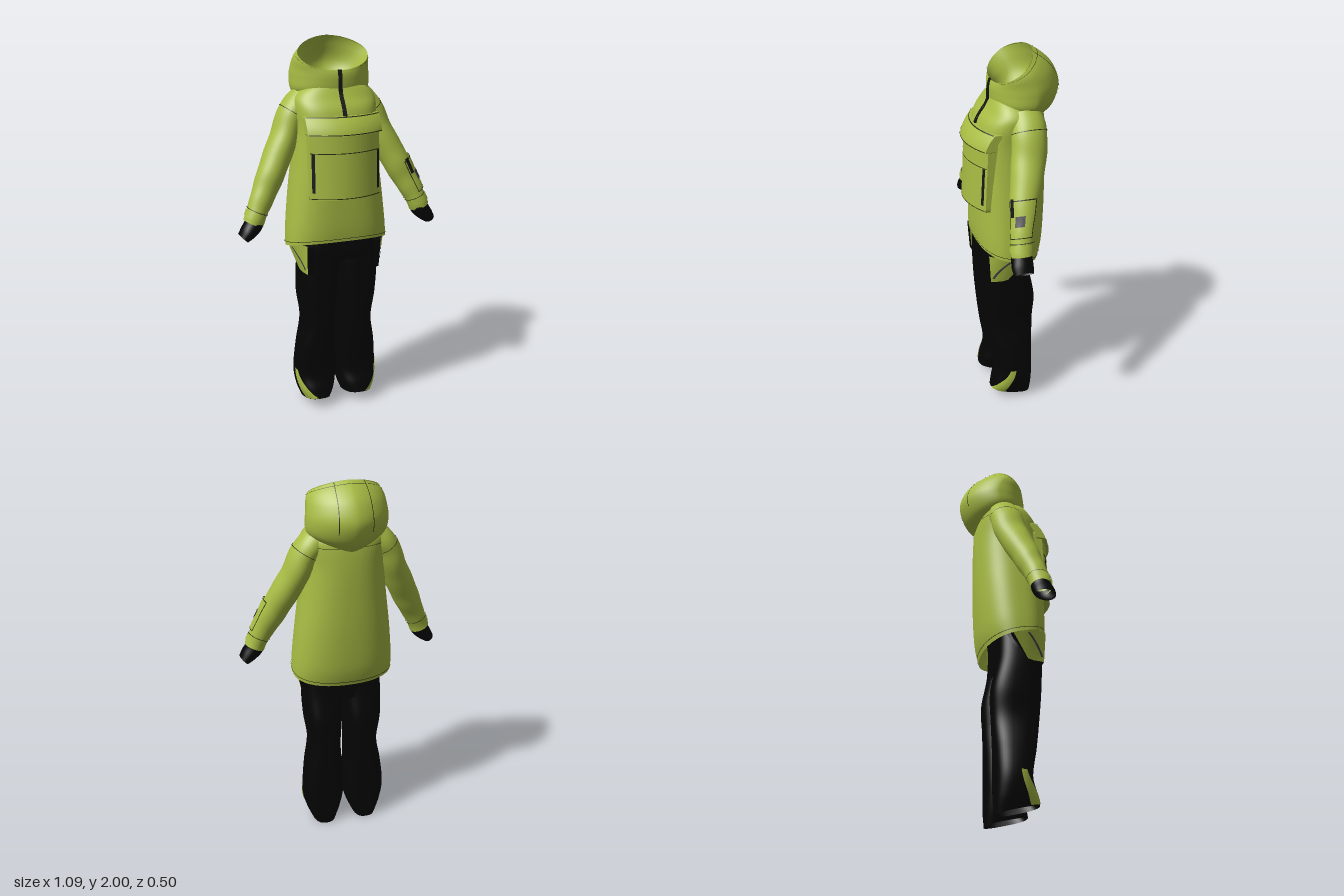
import * as THREE from 'three';
import { mergeVertices } from 'three/addons/utils/BufferGeometryUtils.js';

const mat = (name, color) => {
  const m = new THREE.MeshStandardMaterial({ color, side: THREE.DoubleSide });
  m.name = name;
  return m;
};
const lerp = THREE.MathUtils.lerp;
const V = (x, y, z) => new THREE.Vector3(x, y, z);

// Smooth interpolation through rows of section numbers, v in 0..1
function rowAt(rows, v) {
  const n = rows.length - 1, t = THREE.MathUtils.clamp(v, 0, 1) * n;
  const i = Math.min(Math.floor(t), n - 1), f = t - i;
  const a = rows[Math.max(i - 1, 0)], b = rows[i], c = rows[i + 1], d = rows[Math.min(i + 2, n)];
  return b.map((_, k) => b[k] + 0.5 * f * (c[k] - a[k] + f * (2 * a[k] - 5 * b[k] + 4 * c[k] - d[k]
    + f * (3 * (b[k] - c[k]) + d[k] - a[k]))));
}

// Upright body: rows are [xMin, xMax, yFront, yBack, zFront, zBack]; u = 0 is the front, 0.25 is +x
// nFront and nBack set how square the two halves are
const body = (rows, nFront, nBack = nFront) => (u, v) => {
  const [x0, x1, yF, yB, zF, zB] = rowAt(rows, v);
  const a = u * Math.PI * 2, n = Math.cos(a) > 0 ? nFront : nBack;
  const pw = (q) => Math.sign(q) * Math.abs(q) ** (2 / n);
  const s = pw(Math.sin(a)), c = pw(Math.cos(a));
  return V((x0 + x1) / 2 + (x1 - x0) / 2 * s, lerp(yB, yF, (c + 1) / 2), lerp(zB, zF, (c + 1) / 2));
};

// Limb: rows are [x, y, z, halfWidth, halfDepth]; u = 0 is outward, 0.25 is the front
const limb = (rows, fold = 0) => (u, v) => {
  const [x, y, z, w, d] = rowAt(rows, v);
  const p = rowAt(rows, v - 0.02), q = rowAt(rows, v + 0.02);
  const dir = V(q[0] - p[0], q[1] - p[1], 0).normalize();
  const a = u * Math.PI * 2, k = 1 + fold * Math.sin(v * 34 + Math.sin(a) * 2);
  return V(x - dir.y * w * k * Math.cos(a), y + dir.x * w * k * Math.cos(a), z + d * k * Math.sin(a));
};

// Four-cornered piece of a surface, lifted along its normal
const patch = (f, corners, off) => (s, t) => {
  const [u, v] = [0, 1].map((k) =>
    lerp(lerp(corners[0][k], corners[1][k], s), lerp(corners[3][k], corners[2][k], s), t));
  const e = 0.004, v0 = Math.max(v - e, 0), v1 = Math.min(v + e, 1);
  const du = f(u + e, v).sub(f(u - e, v)), dv = f(u, v1).sub(f(u, v0));
  return f(u, v).addScaledVector(du.cross(dv).normalize(), off);
};
const rect = (f, u0, u1, v0, v1, off = 0.003) => patch(f, [[u0, v0], [u1, v0], [u1, v1], [u0, v1]], off);

// Side wall round the border of a panel
const wall = (f, dir) => (u, t) => {
  const e = (u % 1) * 4, k = Math.floor(e), r = e - k;
  const [a, b] = [[r, 0], [1, r], [1 - r, 1], [0, 1 - r]][k];
  return f(a, b).addScaledVector(dir, 1 - t);
};

const mirror = (f) => (u, v) => { const p = f(1 - u, v); p.x *= -1; return p; };

function grid(f, nu, nv) {
  const pos = [], index = [];
  for (let j = 0; j <= nv; j++) for (let i = 0; i <= nu; i++) pos.push(...f(i / nu, j / nv).toArray());
  for (let j = 0; j < nv; j++) for (let i = 0; i < nu; i++) {
    const a = j * (nu + 1) + i, b = a + 1, c = a + nu + 1, d = c + 1;
    index.push(a, b, d, a, d, c);
  }
  let g = new THREE.BufferGeometry();
  g.setAttribute('position', new THREE.Float32BufferAttribute(pos, 3));
  g.setIndex(index);
  g = mergeVertices(g, 1e-5);
  g.computeVertexNormals();
  return g;
}

export function createModel() {
  const group = new THREE.Group();
  const lime = mat('limeFabric', 0xa8bc44), black = mat('blackFabric', 0x040404);
  const zip = mat('zipBlack', 0x151515), grey = mat('greyTrim', 0x45454a), seam = mat('seamThread', 0x262b10);
  const add = (name, f, m, nu = 8, nv = 8) => {
    const mesh = new THREE.Mesh(grid(f, nu, nv), m);
    mesh.name = name;
    group.add(mesh);
  };
  const both = (name, f, m, nu, nv) => {
    add(name + 'Left', f, m, nu, nv);
    add(name + 'Right', mirror(f), m, nu, nv);
  };

  // Jacket body with a hem that drops at the back
  const torso = body([
    [-0.272, 0.272, 0.972, 0.895, 0.195, -0.125], [-0.268, 0.268, 1.05, 1.0, 0.2, -0.15],
    [-0.25, 0.25, 1.2, 1.2, 0.2, -0.165], [-0.225, 0.225, 1.4, 1.4, 0.197, -0.17],
    [-0.213, 0.213, 1.55, 1.55, 0.19, -0.17], [-0.22, 0.22, 1.65, 1.65, 0.168, -0.165],
    [-0.215, 0.215, 1.71, 1.7, 0.13, -0.155], [-0.17, 0.17, 1.76, 1.74, 0.102, -0.13],
    [-0.1, 0.1, 1.785, 1.755, 0.085, -0.09]], 2.7, 2.3);
  add('jacketBody', torso, lime, 64, 48);
  add('hemSeam', rect(torso, 0, 1, 0.037, 0.042), seam, 64, 1);
  add('yokeSeam', rect(torso, 0.36, 0.64, 0.66, 0.665), seam, 24, 1);

  // Hood, pointed at the back, with its lining and seams
  const hood = body([
    [-0.15, 0.15, 1.725, 1.65, 0.098, -0.165], [-0.205, 0.205, 1.755, 1.715, 0.105, -0.225],
    [-0.212, 0.212, 1.8, 1.81, 0.107, -0.255], [-0.206, 0.206, 1.825, 1.9, 0.105, -0.224],
    [-0.2, 0.2, 1.842, 1.96, 0.1, -0.168], [-0.188, 0.188, 1.847, 2.0, 0.097, -0.11]], 2.1, 1.65);
  const lining = body([
    [-0.188, 0.188, 1.847, 2.0, 0.097, -0.11], [-0.165, 0.165, 1.825, 1.95, 0.087, -0.13],
    [-0.135, 0.135, 1.8, 1.85, 0.083, -0.15], [-0.105, 0.105, 1.76, 1.74, 0.082, -0.09],
    [-0.098, 0.098, 1.7, 1.68, 0.082, -0.08]], 2.1, 1.75);
  add('hood', hood, lime, 56, 30);
  add('hoodLining', lining, lime, 56, 20);
  add('hoodRimSeam', rect(hood, 0.1, 0.9, 0.9, 0.907), seam, 48, 1);
  both('hoodPanelSeam', rect(hood, 0.42, 0.423, 0.3, 0.99), seam, 1, 20);

  // Front zip running from the collar down the chest
  const zipRows = [[1.62, 0.188], [1.66, 0.17], [1.7, 0.144], [1.74, 0.118], [1.8, 0.115], [1.85, 0.104]];
  const zipLine = (s, t) => { const [y, z] = rowAt(zipRows, t); return V((s - 0.5) * 0.02, y, z); };
  add('frontZip', zipLine, zip, 1, 16);
  add('frontZipEdge', wall(zipLine, V(0, 0, -0.01)), zip, 32, 1);

  // Large chest pocket with flap and side zips
  const pocket = (s, t) => {
    const x = (s - 0.5) * 0.38;
    return V(x, 1.21 + 0.37 * t, 0.248 - 0.02 * t - 1.7 * x * x);
  };
  const flap = (s, t) => {
    const x = (s - 0.5) * 0.4;
    return V(x, 1.54 + 0.088 * t, 0.246 - 0.02 * t - 0.032 * t * t - 1.5 * x * x);
  };
  add('chestPocket', pocket, lime, 20, 8);
  add('chestPocketWall', wall(pocket, V(0, 0, -0.08)), lime, 80, 1);
  add('pocketFlap', flap, lime, 20, 6);
  add('pocketFlapWall', wall(flap, V(0, 0, -0.05)), lime, 80, 1);
  for (const t of [0.012, 0.64]) add('pocketSeam', rect(pocket, 0.01, 0.99, t, t + 0.011, 0.002), seam, 20, 1);
  for (const t of [0.02, 0.94]) add('flapSeam', rect(flap, 0.01, 0.99, t, t + 0.05, 0.002), seam, 20, 1);
  both('pocketZip', rect(pocket, 0.935, 0.974, 0.1, 0.64, 0.005), zip, 2, 8);

  // Sleeves, cuff straps and black hand gaiters
  const sleeve = limb([
    [0.15, 1.695, -0.035, 0.07, 0.085], [0.212, 1.625, -0.035, 0.072, 0.09], [0.265, 1.5, -0.015, 0.072, 0.09],
    [0.335, 1.36, 0.025, 0.073, 0.08], [0.39, 1.25, 0.052, 0.066, 0.066], [0.435, 1.16, 0.075, 0.056, 0.058],
    [0.465, 1.09, 0.085, 0.053, 0.056]], 0.015);
  both('sleeve', sleeve, lime, 32, 48);
  both('sleeveSeam', rect(sleeve, 0, 1, 0.16, 0.164, 0.002), seam, 32, 1);
  both('cuffStrap', rect(sleeve, -0.1, 0.35, 0.87, 0.93, 0.005), lime, 16, 2);
  both('cuffSeam', rect(sleeve, 0, 1, 0.85, 0.856, 0.003), seam, 32, 1);
  const gaiter = limb([
    [0.45, 1.115, 0.084, 0.047, 0.052], [0.467, 1.08, 0.088, 0.048, 0.054],
    [0.497, 1.045, 0.092, 0.041, 0.055], [0.522, 1.018, 0.092, 0.03, 0.05]]);
  both('handGaiter', gaiter, black, 28, 12);

  // Pocket, zip and badge on the left forearm
  add('armPocket', rect(sleeve, -0.08, 0.22, 0.53, 0.81, 0.006), lime, 12, 10);
  for (const v of [0.53, 0.8]) add('armPocketSeam', rect(sleeve, -0.08, 0.22, v, v + 0.007, 0.008), seam, 12, 1);
  for (const u of [-0.08, 0.21]) add('armPocketSideSeam', rect(sleeve, u, u + 0.01, 0.53, 0.81, 0.008), seam, 1, 10);
  add('armZip', rect(sleeve, 0.155, 0.2, 0.52, 0.64, 0.01), zip, 2, 4);
  add('armBadge', rect(sleeve, 0.03, 0.14, 0.635, 0.715, 0.01), grey, 4, 4);

  // Trousers: hips, crotch gusset and two hollow legs
  const hips = body([
    [-0.21, 0.21, 0.86, 0.78, 0.168, -0.06], [-0.215, 0.215, 0.92, 0.88, 0.18, -0.06],
    [-0.205, 0.205, 1.04, 1.04, 0.17, -0.08]], 3);
  add('trouserHips', hips, black, 48, 10);
  const gusset = (s, t) => V((s - 0.5) * (0.05 + 0.28 * (t - 0.5) ** 2), 0.87, lerp(0.165, -0.06, t));
  add('crotchGusset', gusset, black, 2, 12);
  const leg = body([
    [0.05, 0.185, 0.06, 0.005, 0.15, -0.075], [0.02, 0.215, 0.11, 0.09, 0.137, -0.08],
    [0.002, 0.23, 0.2, 0.2, 0.112, -0.08], [0.01, 0.215, 0.35, 0.35, 0.135, -0.083],
    [0.018, 0.19, 0.5, 0.5, 0.155, -0.09], [0.01, 0.21, 0.65, 0.65, 0.165, -0.095],
    [0, 0.216, 0.82, 0.82, 0.17, -0.065], [0, 0.2, 0.98, 0.98, 0.165, -0.06]], 2.7);
  both('trouserLeg', leg, black, 40, 48);
  both('anklePatch', patch(leg, [[0.025, 0.02], [0.19, 0.02], [0.235, 0.3], [0.19, 0.3]], 0.004), lime, 14, 14);

  // Lime hip pockets with a slanted zip, black underneath
  const hip = (s, t) => {
    const z = lerp(lerp(0.165, 0.08, s), lerp(0.175, -0.03, s), t);
    return V(0.215 + 0.045 * t - (1.2 + 2.4 * t) * Math.max(0, z - 0.05) ** 2, 0.8 + 0.16 * t, z);
  };
  both('hipPocket', hip, lime, 10, 8);
  both('hipPocketWall', wall(hip, V(-0.04, 0, 0)), black, 40, 1);
  both('hipZip', patch(hip, [[0.08, 0.15], [0.2, 0.15], [0.58, 0.85], [0.51, 0.85]], 0.004), grey, 2, 8);

  return group;
}
